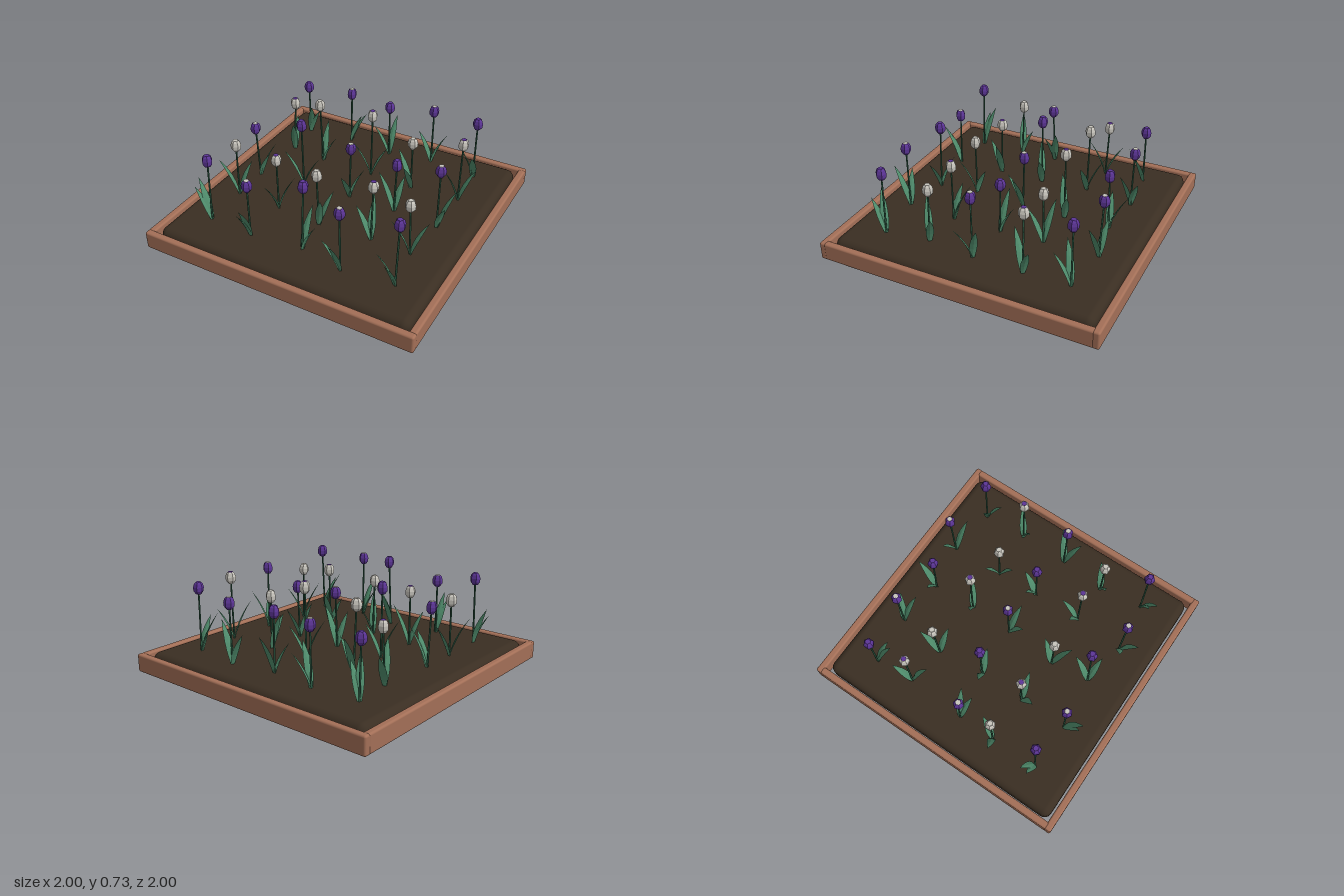
import * as THREE from 'three';
import { RoundedBoxGeometry } from 'three/addons/geometries/RoundedBoxGeometry.js';

const paint = (name, color) => Object.assign(new THREE.MeshStandardMaterial({ color }), { name });

// Non-indexed copy gives crisp facets
function faceted(geometry) {
  const g = geometry.toNonIndexed();
  g.computeVertexNormals();
  return g;
}

// Pointed blade with a diamond cross-section, arching outwards along +x
function bladeGeometry(height, reach) {
  const g = new THREE.CylinderGeometry(1, 1, 1, 4, 6, true);
  const p = g.attributes.position;
  for (let i = 0; i < p.count; i++) {
    const t = p.getY(i) + 0.5;
    const w = t > 0.999 ? 0 : Math.pow(Math.sin(Math.PI * (0.12 + 0.88 * t)), 0.9);
    p.setXYZ(i,
      reach * (0.45 * t + 0.55 * t * t) + p.getX(i) * 0.006 * w,
      height * t,
      p.getZ(i) * 0.027 * w);
  }
  return faceted(g);
}

// Each plant: head x, head z, head y, then the headings of its two leaves in degrees
const ROWS = [
  [[-0.705, -0.665, 0.575, 55, 24], [-0.345, -0.705, 0.59, -37, 25], [0.005, -0.655, 0.59, -90, 168],
    [0.325, -0.74, 0.605, -173, 14], [0.685, -0.685, 0.63, 143, 80]],
  [[-0.665, -0.4, 0.57, -108, 61], [-0.415, -0.345, 0.645, -100, 4], [0.02, -0.345, 0.68, -29, 148],
    [0.345, -0.335, 0.555, -165, 93], [0.705, -0.37, 0.635, -41, 130]],
  [[-0.705, 0.07, 0.585, -24, 18], [-0.36, 0, 0.67, -15, 154], [0.015, -0.035, 0.575, 10, 90],
    [0.37, -0.035, 0.555, -80, -175], [0.7, 0, 0.635, -41, 46]],
  [[-0.7, 0.317, 0.575, -66, 157], [-0.36, 0.328, 0.57, -9, 110], [-0.02, 0.366, 0.58, -61, 54],
    [0.38, 0.328, 0.605, -108, -174], [0.65, 0.344, 0.565, -39, 145]],
  [[-0.68, 0.655, 0.65, -159, 178], [-0.355, 0.68, 0.575, 99, 84], [0.035, 0.617, 0.665, -85, 11],
    [0.345, 0.705, 0.63, 159, 97], [0.72, 0.645, 0.645, 140, 102]],
];

export function createModel() {
  const wood = paint('wood', 0xa36f57);
  const soil = paint('soil', 0x3a2e22);
  const stemGreen = paint('stem green', 0x2f5f47);
  const leafGreen = paint('leaf green', 0x4f8c6c);
  const purple = paint('purple petal', 0x5c3596);
  const white = paint('white petal', 0xc8c5bd);

  const model = new THREE.Group();
  model.name = 'flowerBed';
  const add = (parent, name, geometry, material, x = 0, y = 0, z = 0) => {
    const mesh = new THREE.Mesh(geometry, material);
    mesh.name = name;
    mesh.position.set(x, y, z);
    parent.add(mesh);
    return mesh;
  };

  // Soil slab and the four rails around it
  add(model, 'soilBed', new RoundedBoxGeometry(1.87, 0.18, 1.87, 4, 0.055), soil, 0, 0.09, 0);
  const longRail = new RoundedBoxGeometry(2, 0.13, 0.05, 3, 0.014);
  const sideRail = new RoundedBoxGeometry(0.05, 0.13, 1.93, 3, 0.014);
  for (const s of [-1, 1]) {
    add(model, s > 0 ? 'frontRail' : 'backRail', longRail, wood, 0, 0.105, s * 0.975);
    add(model, s > 0 ? 'leftRail' : 'rightRail', sideRail, wood, s * 0.975, 0.105, 0);
  }

  // Shared flower parts
  const profile = [[0, -0.044], [0.02, -0.04], [0.035, -0.018], [0.037, 0.008], [0.03, 0.032], [0.02, 0.043], [0, 0.043]];
  const head = faceted(new THREE.LatheGeometry(profile.map(([x, y]) => new THREE.Vector2(x, y)), 6));
  const tip = faceted(new THREE.CylinderGeometry(0.018, 0.019, 0.004, 6));
  const stem = new THREE.CylinderGeometry(0.006, 0.007, 1, 6);
  const blades = [bladeGeometry(0.29, 0.13), bladeGeometry(0.24, 0.12)];
  const up = new THREE.Vector3(0, 1, 0);

  // Five rows of five plants, alternating petal colour by row
  ROWS.forEach((row, r) => row.forEach(([x, z, y, ...headings], c) => {
    const plant = new THREE.Group();
    plant.name = 'flower';
    model.add(plant);

    // Stem leans slightly from its root near the grid point to the head
    const top = new THREE.Vector3(x, y, z);
    const root = new THREE.Vector3(
      THREE.MathUtils.lerp(x, (c - 2) * 0.345, 0.3), 0.17,
      THREE.MathUtils.lerp(z, (r - 2) * 0.345, 0.3));
    const axis = top.clone().sub(root);
    const stalk = add(plant, 'stem', stem, stemGreen);
    stalk.position.copy(root).lerp(top, 0.5);
    stalk.scale.y = axis.length();
    stalk.quaternion.setFromUnitVectors(up, axis.normalize());

    const spin = c * 0.4 + r * 0.7;
    add(plant, 'petals', head, r % 2 ? white : purple, x, y, z).rotation.y = spin;
    const paleTip = (c + (r === 2 || r === 3 ? 1 : 0)) % 2 === 1;
    add(plant, 'flowerTip', tip, paleTip ? white : purple, x, y + 0.043, z).rotation.y = spin;

    headings.forEach((deg, i) => {
      const leaf = add(plant, 'leaf', blades[(i + c + r) % 2], leafGreen, root.x, 0.17, root.z);
      leaf.rotation.y = -THREE.MathUtils.degToRad(deg);
    });
  }));
  return model;
}
